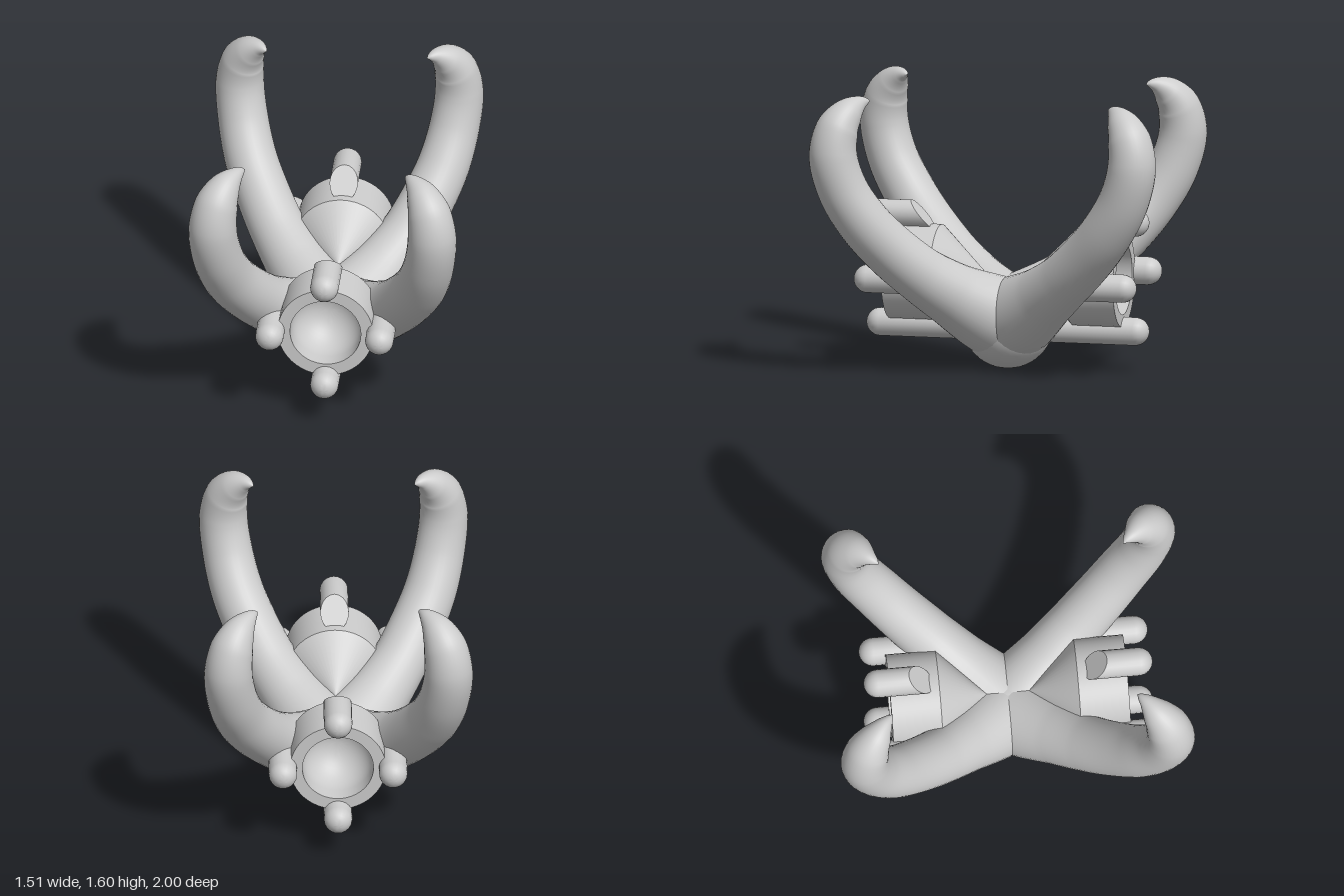
import * as THREE from 'three';
import { toCreasedNormals } from 'three/addons/utils/BufferGeometryUtils.js';

const material = new THREE.MeshStandardMaterial({ color: 0xcccccc });

function addMesh(parent, geometry, name) {
  const mesh = new THREE.Mesh(geometry, material);
  mesh.name = name;
  parent.add(mesh);
  return mesh;
}

// Stations along the front left claw: [x, y, z, radius]
const CLAW = [
  [0, 0.27, 0, 0.245], [0.11, 0.345, 0.12, 0.222], [0.24, 0.455, 0.27, 0.182],
  [0.362, 0.58, 0.42, 0.16], [0.47, 0.74, 0.58, 0.153], [0.545, 0.89, 0.7, 0.148],
  [0.597, 1.08, 0.81, 0.142], [0.619, 1.28, 0.863, 0.137], [0.598, 1.43, 0.843, 0.122],
  [0.55, 1.52, 0.79, 0.088], [0.5, 1.563, 0.74, 0.047], [0.468, 1.573, 0.706, 0.02],
  [0.452, 1.572, 0.69, 0.001],
];

// Sweeps a circle along the stations, mirrored by sx and sz
function clawGeometry(sx, sz) {
  const path = new THREE.CatmullRomCurve3(
    CLAW.map(([x, y, z]) => new THREE.Vector3(sx * x, y, sz * z)));
  const girth = new THREE.CatmullRomCurve3(CLAW.map((s) => new THREE.Vector3(s[3], 0, 0)));
  const across = new THREE.Vector3(sz * 0.81, 0, -sx * 0.58);
  const rings = 96, sides = 32;
  const positions = [], index = [];
  for (let i = 0; i <= rings; i++) {
    const centre = path.getPoint(i / rings);
    const along = path.getTangent(i / rings);
    const radius = Math.max(girth.getPoint(i / rings).x, 0.001);
    const n = new THREE.Vector3().crossVectors(along, across).normalize();
    const s = new THREE.Vector3().crossVectors(n, along);
    for (let j = 0; j < sides; j++) {
      const a = (j / sides) * Math.PI * 2;
      const p = centre.clone()
        .addScaledVector(s, Math.cos(a) * radius)
        .addScaledVector(n, Math.sin(a) * radius);
      positions.push(p.x, p.y, p.z);
      if (i < rings) {
        const a0 = i * sides + j, a1 = i * sides + ((j + 1) % sides);
        index.push(a0, a1, a0 + sides, a1, a1 + sides, a0 + sides);
      }
    }
  }
  const g = new THREE.BufferGeometry();
  g.setAttribute('position', new THREE.Float32BufferAttribute(positions, 3));
  g.setIndex(index);
  g.computeVertexNormals();
  return g;
}

// Part turned around an axis along z, from [radius, z] pairs
function turned(profile, x, y, sides) {
  const g = new THREE.LatheGeometry(profile.map(([r, z]) => new THREE.Vector2(r, z)), sides);
  g.rotateX(Math.PI / 2);
  g.translate(x, y, 0);
  return g;
}

// Arc as [radius, z] pairs
function arc(radius, centreZ, from, to, steps) {
  return Array.from({ length: steps + 1 }, (_, i) => {
    const a = from + ((to - from) * i) / steps;
    return [Math.max(0, radius * Math.cos(a)), centreZ + radius * Math.sin(a)];
  });
}

// Round-nosed prong
function prong(x, y, back) {
  const profile = [[0, back], [0.08, back], ...arc(0.08, 0.735, 0, Math.PI / 2, 8)];
  return turned(profile, x, y, 20);
}

// The top prong is cut on a slope at the back
function slopedProng(y) {
  const g = prong(0, y, 0);
  const p = g.attributes.position;
  for (let i = 0; i < p.count; i++) {
    if (p.getZ(i) < 0.01) p.setZ(i, 0.44 + (p.getY(i) - 0.8) * 0.85);
  }
  return g;
}

function createSocket() {
  const socket = new THREE.Group();
  // Sleeve with a conical back and a round-bottomed bore
  const sleeve = [
    [0, 0.12], [0.27, 0.39], [0.27, 0.67], [0.2, 0.67],
    ...arc(0.2, 0.58, 0, -Math.PI / 2, 12),
  ];
  addMesh(socket, toCreasedNormals(turned(sleeve, 0, 0.535, 48), 0.7), 'sleeve');
  // Four prongs around the sleeve
  addMesh(socket, toCreasedNormals(slopedProng(0.86), 0.7), 'topProng');
  addMesh(socket, toCreasedNormals(prong(0, 0.24, 0.1), 0.7), 'bottomProng');
  for (const side of [1, -1]) {
    const geometry = toCreasedNormals(prong(side * 0.31, 0.535, 0.38), 0.7);
    addMesh(socket, geometry, side > 0 ? 'leftProng' : 'rightProng');
  }
  return socket;
}

export function createModel() {
  const model = new THREE.Group();

  // Rounded hub where the claws meet
  addMesh(model, new THREE.SphereGeometry(0.262, 40, 28), 'hub').position.y = 0.267;

  // Four claws in a cross
  for (const sz of [1, -1]) {
    for (const sx of [1, -1]) {
      const name = (sz > 0 ? 'front' : 'back') + (sx > 0 ? 'Left' : 'Right') + 'Claw';
      addMesh(model, clawGeometry(sx, sz), name);
    }
  }

  // Sockets facing front and back
  for (const [name, turn] of [['frontSocket', 0], ['backSocket', Math.PI]]) {
    const socket = createSocket();
    socket.name = name;
    socket.rotation.y = turn;
    model.add(socket);
  }
  return model;
}
